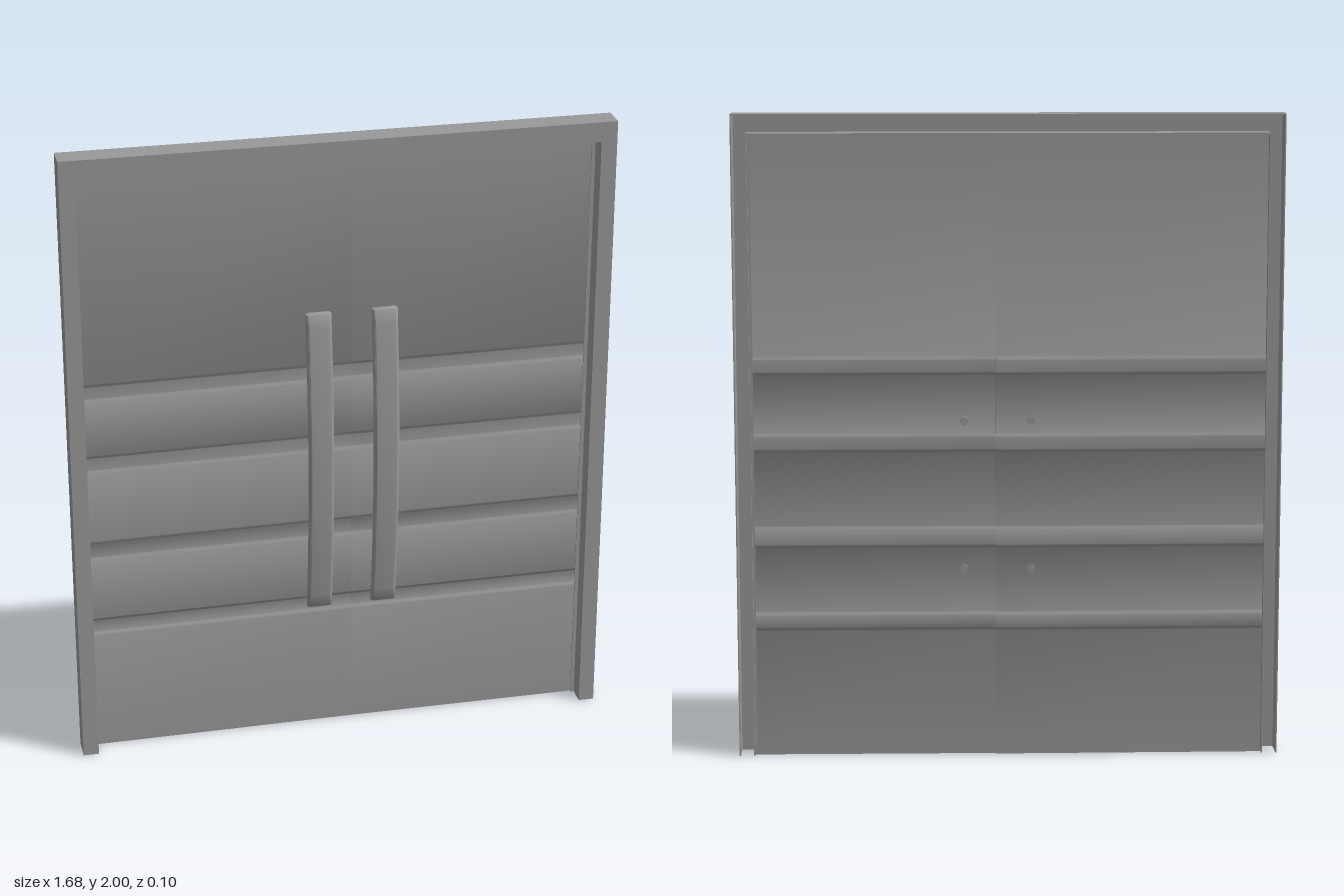
import * as THREE from 'three';
import { toCreasedNormals } from 'three/addons/utils/BufferGeometryUtils.js';

const mat = new THREE.MeshStandardMaterial({ color: 0x999999, side: THREE.DoubleSide });

function add(parent, name, geometry) {
  const mesh = new THREE.Mesh(geometry, mat);
  mesh.name = name;
  parent.add(mesh);
  return mesh;
}

const toShape = (pts) => new THREE.Shape(pts.map(([x, y]) => new THREE.Vector2(x, y)));

// Upside-down U between two outlines, spanning z0..z1
function archGeometry(outX, outTop, inX, inTop, z0, z1) {
  const shape = toShape([
    [-outX, 0], [-outX, outTop], [outX, outTop], [outX, 0],
    [inX, 0], [inX, inTop], [-inX, inTop], [-inX, 0],
  ]);
  return new THREE.ExtrudeGeometry(shape, { depth: z1 - z0, bevelEnabled: false }).translate(0, 0, z0);
}

// Pressed leaf spanning x = 0..width: soft grooves on the front, ridges on the back
const grooves = [[0.395, 0.464], [0.653, 0.731], [0.953, 1.03], [1.193, 1.269]];
function leafGeometry(width, thick) {
  const depth = 0.007, slope = 0.02, n = 6;
  const back = [[0, 0.002]];
  for (const [a, b] of grooves) {
    const ease = (i) => -depth * (1 - Math.cos(Math.PI * i / n)) / 2;
    for (let i = 0; i <= n; i++) back.push([ease(i), a + slope * i / n]);
    for (let i = n; i >= 0; i--) back.push([ease(i), b - slope * i / n]);
  }
  back.push([0, 1.938]);
  const front = back.map(([z, y]) => [z + thick, y]).reverse();
  const geo = new THREE.ExtrudeGeometry(toShape([...back, ...front]), { depth: width, bevelEnabled: false });
  return toCreasedNormals(geo.rotateY(-Math.PI / 2).translate(width, 0, 0), 0.6);
}

// Front surface of the bowed handle
const handleMid = 0.942, handleLength = 1.005;
const bow = (y) => 0.05 - 0.154 * (y - handleMid) ** 2;

// Rounded bar extruded upwards, then bent along the bow
function handleGeometry(width, thick) {
  const r = 0.007, bevel = 0.004;
  const w = width / 2 - bevel, t = thick / 2 - bevel;
  const shape = new THREE.Shape();
  shape.moveTo(-w + r, -t);
  shape.lineTo(w - r, -t).quadraticCurveTo(w, -t, w, -t + r);
  shape.lineTo(w, t - r).quadraticCurveTo(w, t, w - r, t);
  shape.lineTo(-w + r, t).quadraticCurveTo(-w, t, -w, t - r);
  shape.lineTo(-w, -t + r).quadraticCurveTo(-w, -t, -w + r, -t);
  const depth = handleLength - 2 * bevel;
  const geo = new THREE.ExtrudeGeometry(shape, {
    depth, steps: 24, curveSegments: 5, bevelSize: bevel, bevelThickness: bevel, bevelSegments: 3,
  });
  geo.translate(0, 0, -depth / 2).rotateX(-Math.PI / 2).translate(0, handleMid, 0);
  const pos = geo.attributes.position;
  for (let i = 0; i < pos.count; i++) {
    pos.setZ(i, pos.getZ(i) + bow(pos.getY(i)) - thick / 2);
  }
  return toCreasedNormals(geo, 0.8);
}

export function createModel() {
  const model = new THREE.Group();
  model.name = 'doubleDoor';

  // Frame: channel open at the back
  const frame = new THREE.Group();
  frame.name = 'frame';
  model.add(frame);
  const outX = 0.842, outTop = 2, inX = 0.793, inTop = 1.938, wall = 0.004;
  const zBack = -0.047, zFront = 0.032;
  add(frame, 'frameFace', archGeometry(outX, outTop, inX, inTop, zFront - wall, zFront));
  add(frame, 'frameOuterWall', archGeometry(outX, outTop, outX - wall, outTop - wall, zBack, zFront - wall));
  add(frame, 'frameInnerWall', archGeometry(inX + wall, inTop + wall, inX, inTop, -0.042, zFront - wall));
  const stop = add(frame, 'doorStop', new THREE.BoxGeometry(0.012, inTop, 0.004));
  stop.position.set(0.787, inTop / 2, -0.0285);

  // Two leaves, flush in front where they meet and stepped behind
  const seam = 0.041, rightEdge = -0.791, leftEdge = 0.784;
  const rightDoor = add(model, 'rightDoor', leafGeometry(seam - rightEdge, 0.013));
  rightDoor.position.set(rightEdge, 0, -0.036);
  rightDoor.rotation.y = 0.009;
  const leftDoor = add(model, 'leftDoor', leafGeometry(leftEdge - seam, 0.006));
  leftDoor.position.set(seam, 0, -0.0365);

  // Bowed pull handles on through-bolts
  for (const [side, x] of [['right', -0.069], ['left', 0.137]]) {
    const handle = new THREE.Group();
    handle.name = `${side}Handle`;
    handle.position.x = x;
    model.add(handle);
    add(handle, 'grip', handleGeometry(0.08, 0.024));
    for (const y of [0.595, 1.06]) {
      const z0 = -0.047, z1 = bow(y) - 0.012;
      const bolt = add(handle, 'handleBolt', new THREE.CylinderGeometry(0.013, 0.013, z1 - z0, 16));
      bolt.rotation.x = Math.PI / 2;
      bolt.position.set(0, y, (z0 + z1) / 2);
    }
  }
  return model;
}
